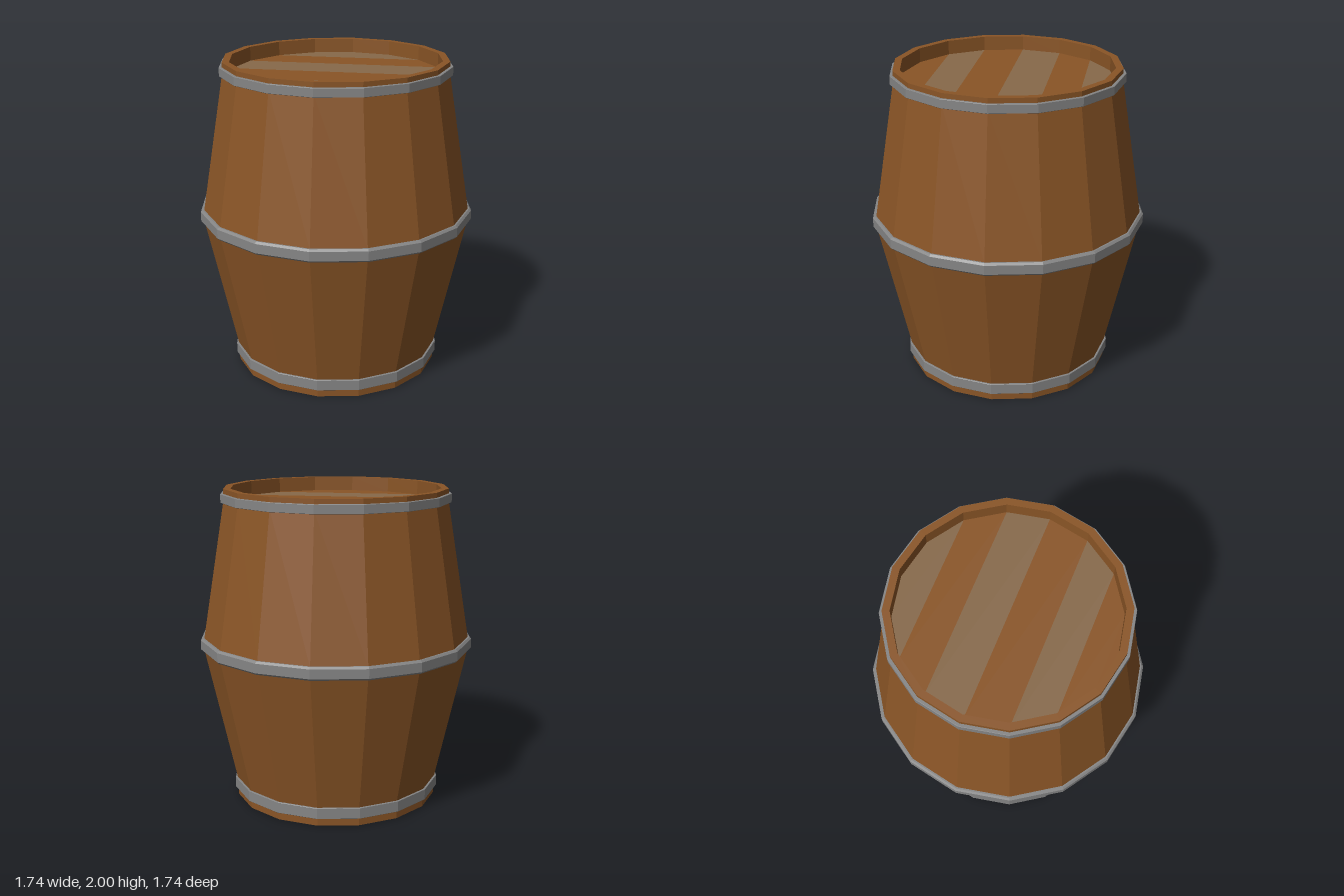
import * as THREE from 'three';

const SIDES = 16;
const material = (color) => new THREE.MeshStandardMaterial({ color, flatShading: true });

// Faceted solid of revolution from [radius, y] pairs
function turned(name, points, mat) {
  const profile = points.map(([r, y]) => new THREE.Vector2(r, y));
  const mesh = new THREE.Mesh(new THREE.LatheGeometry(profile, SIDES), mat);
  mesh.name = name;
  return mesh;
}

// Metal band with slightly bevelled edges, closed on the inside
function hoop(name, y0, y1, outer, inner, bevel, mat) {
  return turned(name, [
    [inner, y0], [outer - bevel, y0], [outer, y0 + bevel],
    [outer, y1 - bevel], [outer - bevel, y1], [inner, y1], [inner, y0],
  ], mat);
}

// Round lid facing up, split into parallel planks of alternating wood
function lid(name, radius, woods) {
  const group = new THREE.Group();
  group.name = name;
  const step = (Math.PI * 2) / SIDES;
  const corner = (k) => {
    const a = (5 + k) * step;
    return new THREE.Vector2(radius * Math.cos(a), radius * Math.sin(a));
  };
  const cuts = [0, 2, 3, 4, 5, 6, 8];
  for (let i = 0; i < cuts.length - 1; i++) {
    const points = [];
    for (let k = -cuts[i + 1]; k <= -cuts[i]; k++) {
      if (k !== -8) points.push(corner(k));
    }
    for (let k = Math.max(cuts[i], 1); k <= cuts[i + 1]; k++) points.push(corner(k));
    const geometry = new THREE.ShapeGeometry(new THREE.Shape(points));
    geometry.rotateX(-Math.PI / 2);
    const plank = new THREE.Mesh(geometry, woods[i % 2]);
    plank.name = 'lidPlank';
    group.add(plank);
  }
  return group;
}

export function createModel() {
  const barrel = new THREE.Group();
  barrel.name = 'barrel';
  const wood = material(0x8a5526);
  const paleWood = material(0x87694a);
  const metal = material(0x858585);

  // Staves, with rims standing proud of the recessed lids
  barrel.add(turned('staves', [
    [0.61, 0.09], [0.61, 0], [0.655, 0], [0.655, 0.1],
    [0.85, 0.99], [0.85, 1.06],
    [0.705, 1.93], [0.705, 2], [0.66, 2], [0.66, 1.91],
  ], wood));

  // Hoops
  barrel.add(hoop('bottomHoop', 0.05, 0.12, 0.672, 0.64, 0.002, metal));
  barrel.add(hoop('middleHoop', 0.985, 1.067, 0.871, 0.83, 0.012, metal));
  barrel.add(hoop('topHoop', 1.915, 1.97, 0.724, 0.69, 0.002, metal));

  // Lids
  const topLid = lid('topLid', 0.66, [paleWood, wood]);
  topLid.position.y = 1.91;
  const bottomLid = lid('bottomLid', 0.61, [paleWood, wood]);
  bottomLid.rotation.x = Math.PI;
  bottomLid.position.y = 0.09;
  barrel.add(topLid, bottomLid);

  return barrel;
}
